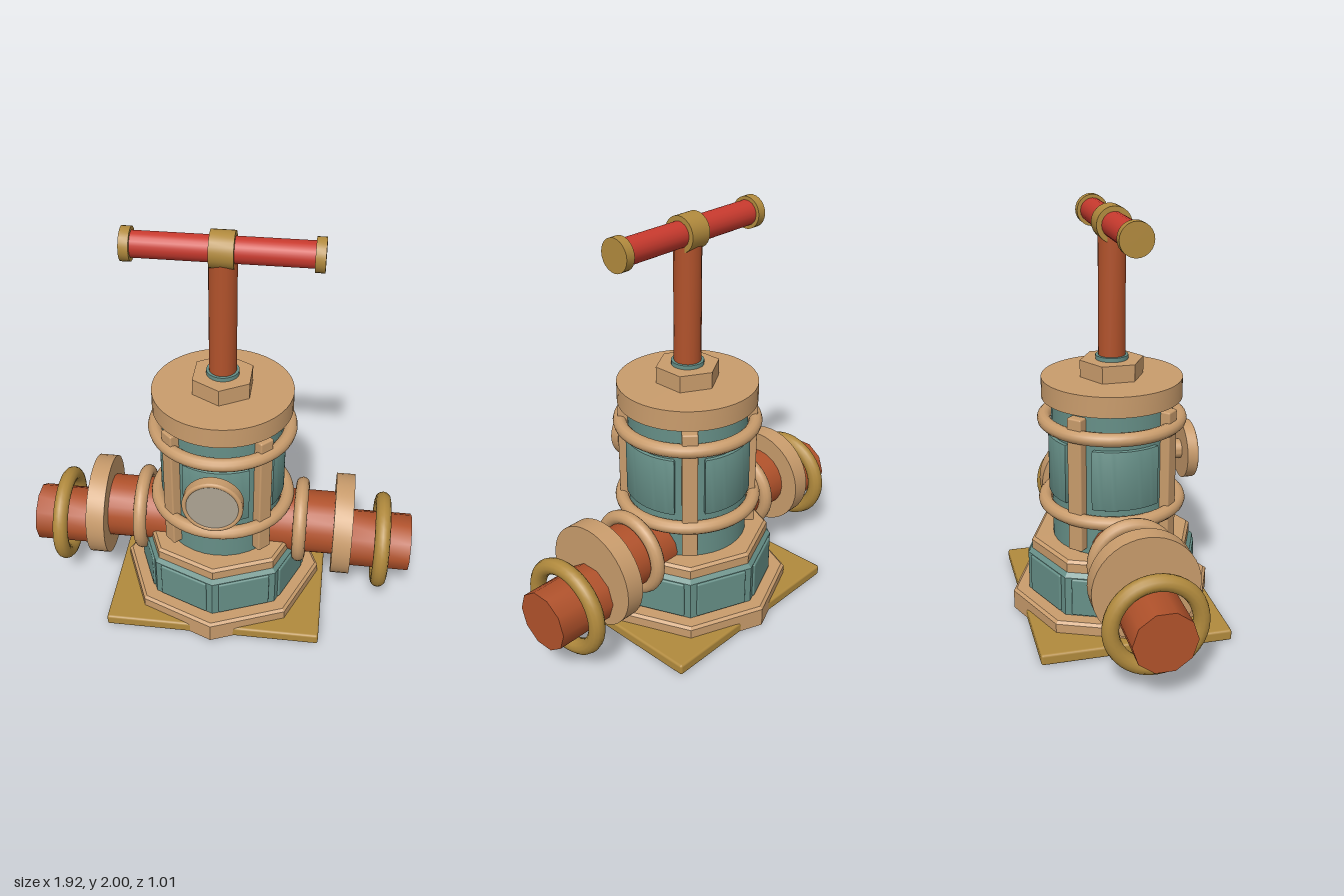
import * as THREE from 'three';
import { toCreasedNormals } from 'three/addons/utils/BufferGeometryUtils.js';
import { RoundedBoxGeometry } from 'three/addons/geometries/RoundedBoxGeometry.js';

function material(name, color) {
  const m = new THREE.MeshStandardMaterial({ color });
  m.name = name;
  return m;
}

export function createModel() {
  const tan = material('tan metal', 0xc99c6c);
  const teal = material('teal paint', 0x668f87);
  const copper = material('copper', 0xb1522b);
  const brass = material('brass', 0xb18a3d);
  const red = material('red paint', 0xc83a2e);
  const glass = material('gauge face', 0xaca392);

  const model = new THREE.Group();
  model.name = 'valve';

  function add(name, geometry, mat, x = 0, y = 0, z = 0, parent = model) {
    const mesh = new THREE.Mesh(geometry, mat);
    mesh.name = name;
    mesh.position.set(x, y, z);
    parent.add(mesh);
    return mesh;
  }
  // Upright cylinder or prism spanning y0..y1
  function column(name, mat, r, y0, y1, sides = 40, rTop = r) {
    const g = toCreasedNormals(new THREE.CylinderGeometry(rTop, r, y1 - y0, sides), 0.5);
    return add(name, g, mat, 0, (y0 + y1) / 2, 0);
  }
  // Cylinder along x spanning x0..x1
  function barX(name, mat, r, x0, x1, y, sides = 32) {
    const g = toCreasedNormals(new THREE.CylinderGeometry(r, r, Math.abs(x1 - x0), sides), 0.7);
    g.rotateZ(Math.PI / 2);
    return add(name, g, mat, (x0 + x1) / 2, y, 0);
  }

  // Base
  add('basePlate', new RoundedBoxGeometry(1.07, 0.055, 0.92, 2, 0.012), brass, 0, 0.0275, 0);
  column('baseStep', tan, 0.505, 0.005, 0.1, 8);
  column('baseStepBevel', tan, 0.505, 0.1, 0.112, 8, 0.49);
  column('lowerBody', teal, 0.425, 0.11, 0.31, 8);
  column('lowerBodyBevel', teal, 0.425, 0.31, 0.335, 8, 0.40);
  column('shoulder', tan, 0.405, 0.33, 0.375, 8);
  column('shoulderBevel', tan, 0.405, 0.375, 0.388, 8, 0.39);

  // Raised panels on the eight lower faces
  for (let i = 0; i < 8; i++) {
    const a = (i + 0.5) * Math.PI / 4;
    const p = add('lowerPanel', new RoundedBoxGeometry(0.26, 0.19, 0.03, 2, 0.008), teal,
      Math.sin(a) * 0.388, 0.212, Math.cos(a) * 0.388);
    p.rotation.y = a;
  }

  // Main body with curved raised panels and straps
  column('body', teal, 0.292, 0.38, 1.11, 32);
  const sector = new THREE.Shape();
  sector.absarc(0, 0, 0.3, -0.52, 0.52, false);
  sector.absarc(0, 0, 0.27, 0.52, -0.52, true);
  sector.closePath();
  const panelGeo = toCreasedNormals(new THREE.ExtrudeGeometry(sector, {
    depth: 0.28, curveSegments: 10, bevelSize: 0.008, bevelThickness: 0.01, bevelSegments: 2,
  }), 0.5);
  panelGeo.rotateX(-Math.PI / 2);
  for (let i = 0; i < 4; i++) {
    add('bodyPanel', panelGeo, teal, 0, 0.635, 0).rotation.y = i * Math.PI / 2;
    const a = Math.PI / 4 + i * Math.PI / 2;
    const strap = add('strap', new RoundedBoxGeometry(0.075, 0.665, 0.055, 2, 0.008), tan,
      Math.sin(a) * 0.308, 0.745, Math.cos(a) * 0.308);
    strap.rotation.y = a;
  }
  for (const y of [0.575, 0.993]) {
    add('bodyRing', new THREE.TorusGeometry(0.328, 0.033, 12, 48).rotateX(Math.PI / 2), tan, 0, y, 0);
  }

  // Cap, nut and stem
  column('cap', tan, 0.338, 1.1, 1.2, 48);
  column('nut', tan, 0.155, 1.19, 1.282, 6);
  column('stemCollar', teal, 0.078, 1.28, 1.302, 24);
  column('stem', copper, 0.065, 1.28, 1.9, 16);

  // Handle
  const hy = 1.916;
  barX('handleBar', red, 0.06, -0.41, 0.41, hy, 20);
  barX('handleHub', brass, 0.084, -0.055, 0.055, hy, 24);

  // Gauge on the front
  const gauge = new THREE.Group();
  gauge.name = 'gauge';
  gauge.position.set(0, 0.79, 0);
  model.add(gauge);
  const disc = (r, d) => toCreasedNormals(new THREE.CylinderGeometry(r, r, d, 40).rotateX(Math.PI / 2), 0.6);
  add('gaugeStem', disc(0.048, 0.08), tan, 0, 0, 0.32, gauge);
  add('gaugeCase', disc(0.144, 0.046), tan, 0, 0, 0.368, gauge);
  add('gaugeRim', new THREE.TorusGeometry(0.133, 0.012, 10, 40), tan, 0, 0, 0.39, gauge);
  add('gaugeFace', disc(0.126, 0.008), glass, 0, 0, 0.393, gauge);

  // Side pipes and handle ends, mirrored
  for (const s of [-1, 1]) {
    barX('handleCap', brass, 0.077, s * 0.398, s * 0.443, hy, 24);
    barX('innerPipe', copper, 0.16, s * 0.2, s * 0.6, 0.407, 20);
    barX('flange', tan, 0.253, s * 0.57, s * 0.662, 0.411, 40);
    barX('outerPipe', copper, 0.147, s * 0.6, s * 0.962, 0.32, 10);
    add('pipeRing', new THREE.TorusGeometry(0.183, 0.034, 12, 40).rotateY(Math.PI / 2), tan, s * 0.402, 0.414, 0);
    add('outerRing', new THREE.TorusGeometry(0.205, 0.039, 12, 40).rotateY(Math.PI / 2), brass, s * 0.815, 0.322, 0);
  }
  return model;
}
